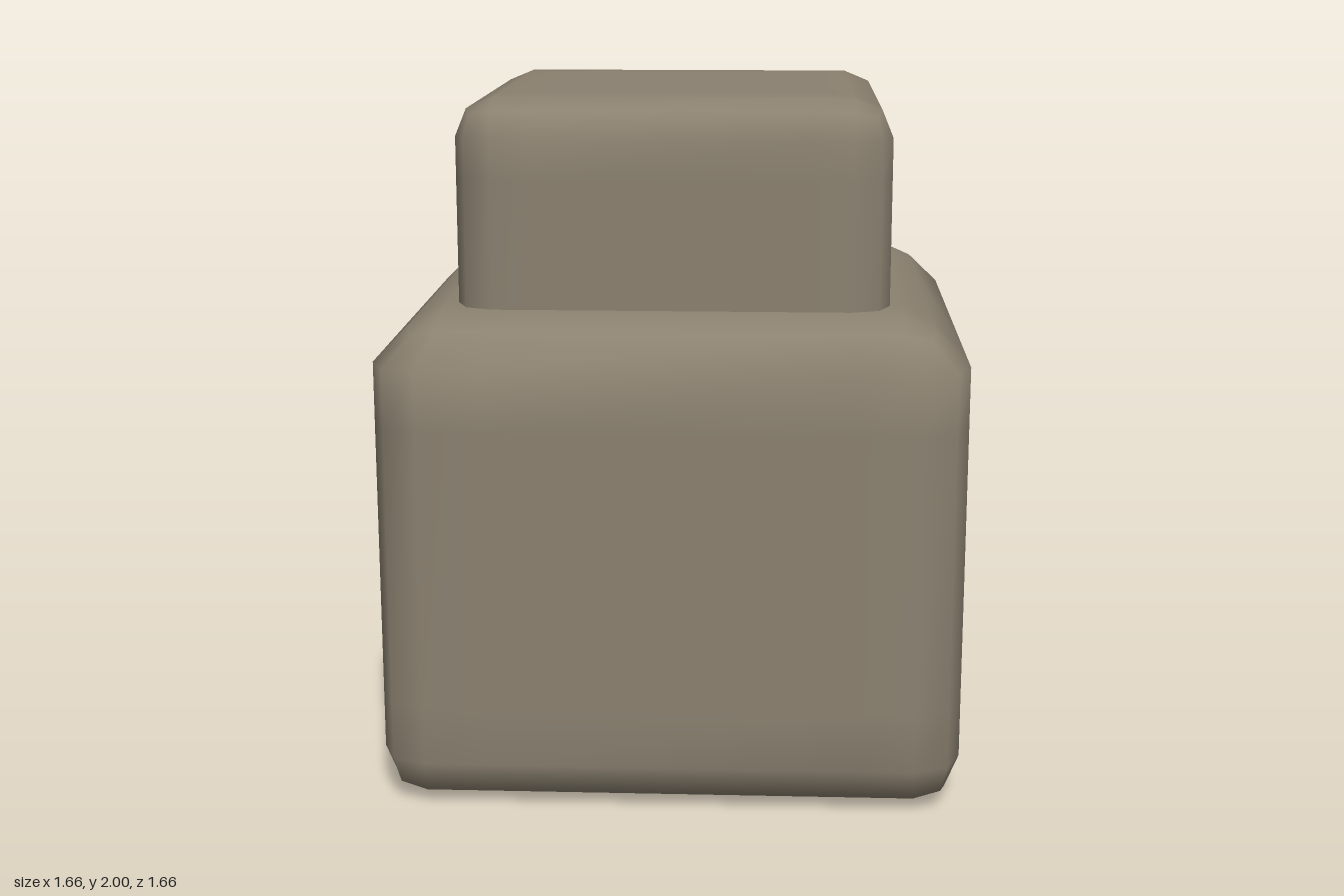
import * as THREE from 'three';
import { mergeVertices } from 'three/addons/utils/BufferGeometryUtils.js';

// Smooth cube with two-step rounded edges; topScale narrows the top rim.
function softBlock(width, y0, y1, radius, inset, topScale = 1) {
  const half = [width / 2, (y1 - y0) / 2, width / 2];
  const geo = new THREE.BoxGeometry(5, 5, 5, 5, 5, 5);
  const pos = geo.attributes.position;
  const p = new THREE.Vector3(), core = new THREE.Vector3();

  for (let i = 0; i < pos.count; i++) {
    p.fromBufferAttribute(pos, i);
    // Space the grid lines: face centre, rounding start, outer edge
    p.fromArray(p.toArray().map((v, axis) => {
      const h = half[axis];
      const steps = [h - radius - inset, h - radius, h];
      return Math.sign(v) * steps[Math.round(Math.abs(v) - 0.5)];
    }));
    // Push each point out from the inner core by the edge radius
    core.set(...p.toArray().map((v, axis) =>
      THREE.MathUtils.clamp(v, radius - half[axis], half[axis] - radius)));
    p.sub(core).setLength(radius).add(core);
    if (p.y > half[1] - radius + 0.001) {
      p.x *= topScale;
      p.z *= topScale;
    }
    pos.setXYZ(i, p.x, p.y + (y0 + y1) / 2, p.z);
  }

  geo.deleteAttribute('normal');
  geo.deleteAttribute('uv');
  const smooth = mergeVertices(geo, 0.0001);
  smooth.computeVertexNormals();
  return smooth;
}

export function createModel() {
  const group = new THREE.Group();
  const material = new THREE.MeshStandardMaterial({ color: 0x8b8170 });

  const add = (name, geometry) => {
    const mesh = new THREE.Mesh(geometry, material);
    mesh.name = name;
    group.add(mesh);
  };

  // Large lower block with a narrowed top rim
  add('body', softBlock(1.665, 0, 1.415, 0.135, 0.17, 0.93));
  // Smaller block sunk into the body
  add('upperBlock', softBlock(1.23, 0.77, 2, 0.11, 0.11));

  return group;
}
